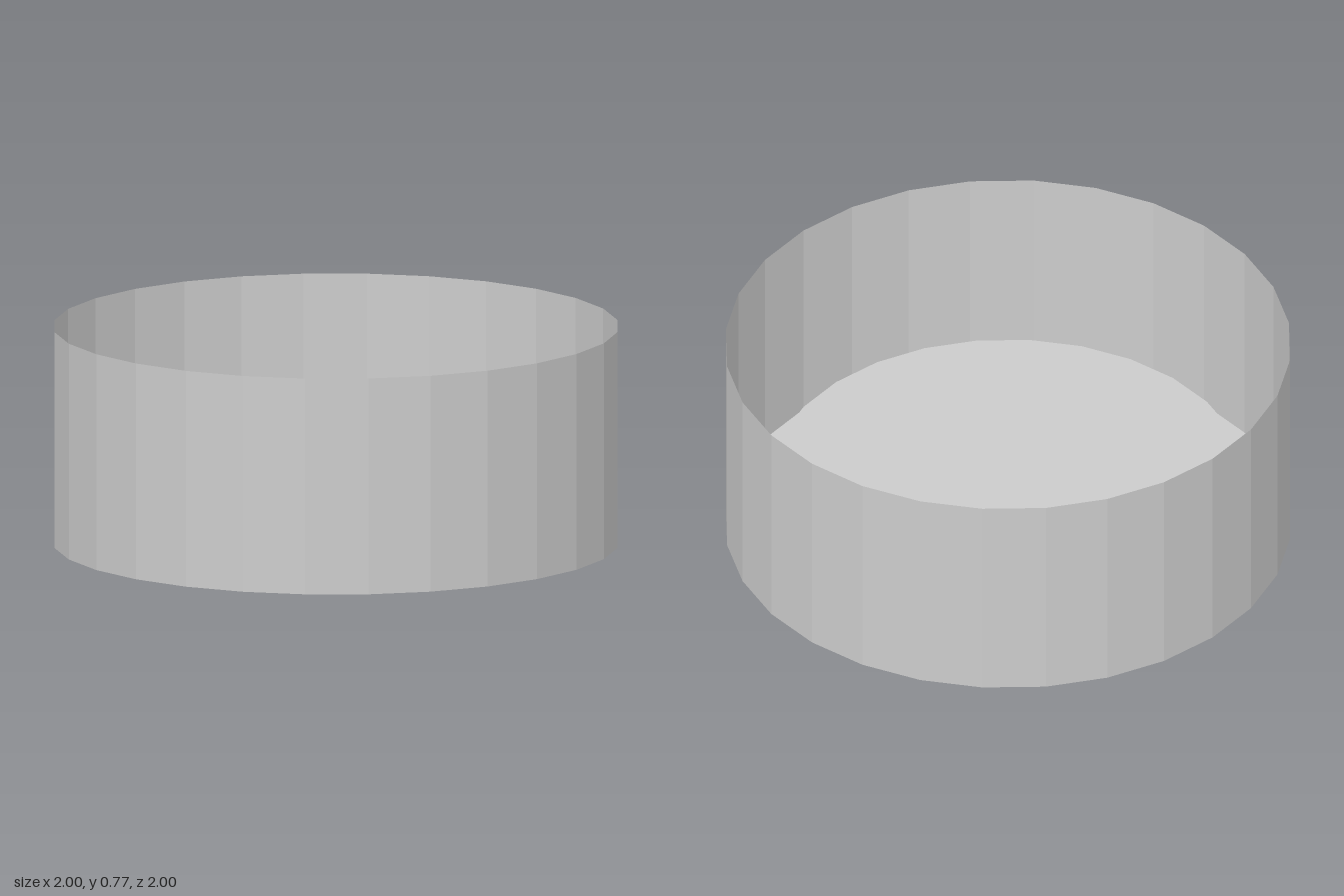
import * as THREE from 'three';

const SIDES = 28;
const HEIGHT = 0.775;

export function createModel() {
  const group = new THREE.Group();
  group.name = 'roundTray';
  const material = new THREE.MeshStandardMaterial({
    color: 0xcccccc, flatShading: true, side: THREE.DoubleSide,
  });

  const add = (name, geometry, y) => {
    const mesh = new THREE.Mesh(geometry, material);
    mesh.name = name;
    mesh.position.y = y;
    group.add(mesh);
    return mesh;
  };

  // Thin faceted wall, open at the top
  add('wall', new THREE.CylinderGeometry(1, 1, HEIGHT, SIDES, 1, true), HEIGHT / 2);

  // Flat base closing the underside
  add('base', new THREE.CircleGeometry(1, SIDES).rotateX(Math.PI / 2), 0);

  // Raised round platform inside, set in from the wall
  add('innerPlatform', new THREE.CylinderGeometry(0.84, 0.84, 0.195, SIDES), 0.1);

  return group;
}
